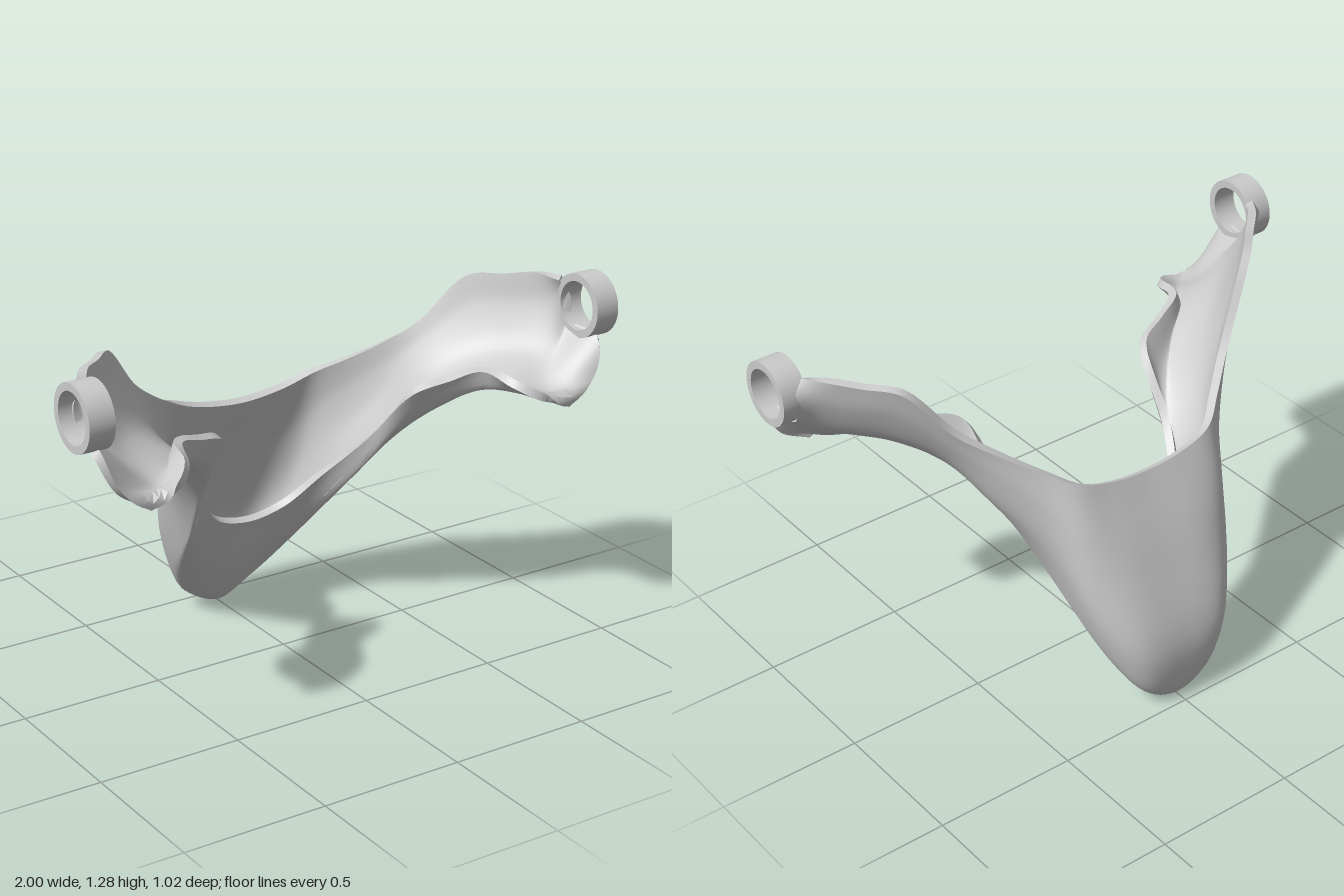
import * as THREE from 'three';
import { toCreasedNormals } from 'three/addons/utils/BufferGeometryUtils.js';

const material = new THREE.MeshStandardMaterial({ color: 0xcccccc, side: THREE.DoubleSide });

// Cross-sections of one half, centre to arm tip: rim, lower back, bottom, lip
const STATIONS = [
  [[0, .82, -.28], [0, .22, -.5], [0, 0, -.445], [0, .39, -.2]],
  [[.15, .835, -.28], [.16, .24, -.485], [.13, .065, -.44], [.13, .42, -.19]],
  [[.27, .87, -.265], [.265, .36, -.38], [.22, .2, -.35], [.23, .53, -.12]],
  [[.37, .92, -.19], [.34, .6, -.2], [.3, .47, -.13], [.32, .7, .03]],
  [[.47, .98, -.11], [.45, .76, -.05], [.39, .69, .04], [.37, .91, .22]],
  [[.58, 1.06, -.03], [.55, .9, .07], [.48, .82, .15], [.48, .95, .27]],
  [[.71, 1.22, .05], [.68, .98, .17], [.58, .9, .25], [.58, .98, .32]],
  [[.8, 1.235, .14], [.78, 1, .26], [.69, .93, .33], [.62, .95, .43]],
  [[.88, 1.25, .22], [.87, 1.02, .33], [.8, .93, .4], [.69, .91, .49]],
  [[.925, 1.25, .29], [.945, 1.085, .31], [.965, 1.06, .45], [.8, .875, .48]],
];

// Point halfway between two others, widened and pushed out to round the wall
function bulge(a, b, dy, dz) {
  const p = a.clone().lerp(b, 0.5);
  return p.set(p.x * 1.025, p.y + dy, p.z + dz);
}

// Full section on one side: the back and front walls each bow outwards
function makeSection(station, side) {
  const [rim, back, bottom, lip] = station.map(([x, y, z]) => new THREE.Vector3(x, y, z));
  const points = [rim, bulge(rim, back, 0.015, -0.015), back, bottom, bulge(bottom, lip, -0.03, 0.015), lip];
  points.forEach(p => { p.x *= side; });
  return points;
}

// Thin shell lofted through the sections, mirrored about x = 0
function shellGeometry(columns, rows, thickness) {
  const sections = [
    ...STATIONS.slice(1).reverse().map(s => makeSection(s, -1)),
    ...STATIONS.map(s => makeSection(s, 1)),
  ];
  const rails = sections[0].map((_, r) => new THREE.CatmullRomCurve3(sections.map(s => s[r])));

  const grid = [];
  for (let i = 0; i <= columns; i++) {
    const section = new THREE.CatmullRomCurve3(rails.map(c => c.getPoint(i / columns)));
    grid.push(Array.from({ length: rows + 1 }, (_, j) => section.getPoint(j / rows)));
  }

  // inner surface is the outer one moved in along its normals
  const outer = [], inner = [];
  const clamp = THREE.MathUtils.clamp;
  const at = (i, j) => grid[clamp(i, 0, columns)][clamp(j, 0, rows)];
  for (let i = 0; i <= columns; i++) {
    for (let j = 0; j <= rows; j++) {
      const along = at(i + 1, j).clone().sub(at(i - 1, j));
      const down = at(i, j + 1).clone().sub(at(i, j - 1));
      const normal = along.cross(down).normalize();
      outer.push(...at(i, j).toArray());
      inner.push(...at(i, j).clone().addScaledVector(normal, -thickness).toArray());
    }
  }

  const index = [];
  const id = (i, j) => i * (rows + 1) + j;
  const offset = outer.length / 3;
  const quad = (a, b, c, d) => index.push(a, b, c, a, c, d);
  const edge = (a, b) => quad(a, a + offset, b + offset, b);
  for (let i = 0; i < columns; i++) {
    for (let j = 0; j < rows; j++) {
      const [a, b, c, d] = [id(i, j), id(i + 1, j), id(i + 1, j + 1), id(i, j + 1)];
      quad(a, b, c, d);
      quad(d + offset, c + offset, b + offset, a + offset);
    }
    // rim and lip edges
    edge(id(i, 0), id(i + 1, 0));
    edge(id(i + 1, rows), id(i, rows));
  }
  // end edges at the arm tips
  for (let j = 0; j < rows; j++) {
    edge(id(0, j + 1), id(0, j));
    edge(id(columns, j), id(columns, j + 1));
  }

  const geometry = new THREE.BufferGeometry();
  geometry.setAttribute('position', new THREE.Float32BufferAttribute([...outer, ...inner], 3));
  geometry.setIndex(index);
  return toCreasedNormals(geometry, 0.7);
}

// Short open tube with its axis along x
function ringGeometry(innerRadius, outerRadius, width) {
  const h = width / 2;
  const profile = [[innerRadius, -h], [outerRadius, -h], [outerRadius, h], [innerRadius, h], [innerRadius, -h]]
    .map(p => new THREE.Vector2(...p));
  const geometry = new THREE.LatheGeometry(profile, 48).rotateZ(Math.PI / 2);
  return toCreasedNormals(geometry, 0.6);
}

export function createModel() {
  const model = new THREE.Group();
  model.name = 'chinGuard';

  const shell = new THREE.Mesh(shellGeometry(108, 30, 0.028), material);
  shell.name = 'shell';
  model.add(shell);

  // pivot rings at the arm tips
  const ring = ringGeometry(0.084, 0.11, 0.088);
  for (const side of [1, -1]) {
    const pivot = new THREE.Mesh(ring, material);
    pivot.name = side > 0 ? 'leftPivotRing' : 'rightPivotRing';
    pivot.position.set(side * 0.956, 1.17, 0.39);
    model.add(pivot);
  }
  return model;
}
